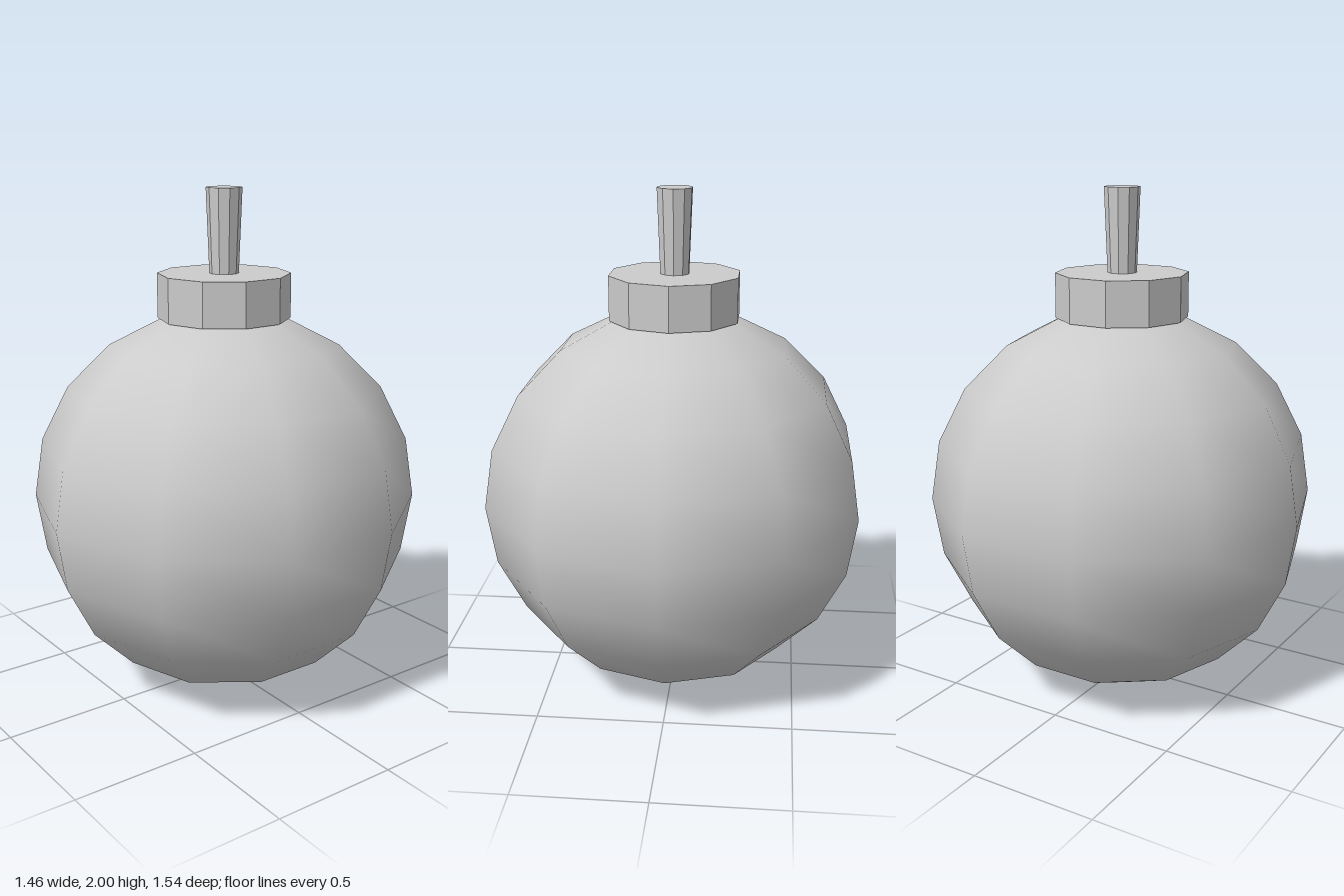
import * as THREE from 'three';

const SIDES = 10;

export function createModel() {
  const model = new THREE.Group();
  const smooth = new THREE.MeshStandardMaterial({ color: 0xcccccc });
  const faceted = new THREE.MeshStandardMaterial({ color: 0xcccccc, flatShading: true });

  const add = (name, geometry, material, y) => {
    const mesh = new THREE.Mesh(geometry, material);
    mesh.name = name;
    mesh.position.y = y;
    model.add(mesh);
  };

  // Round body, turned so a corner points to the front
  const ball = new THREE.SphereGeometry(0.77, SIDES, SIDES).rotateY(Math.PI / 2);
  add('body', ball, smooth, 0.77);

  // Collar on top of the body
  add('collar', new THREE.CylinderGeometry(0.26, 0.26, 0.175, SIDES), faceted, 1.5875);

  // Fuse, slightly wider at its tip
  add('fuse', new THREE.CylinderGeometry(0.07, 0.057, 0.33, SIDES), faceted, 1.835);

  return model;
}
